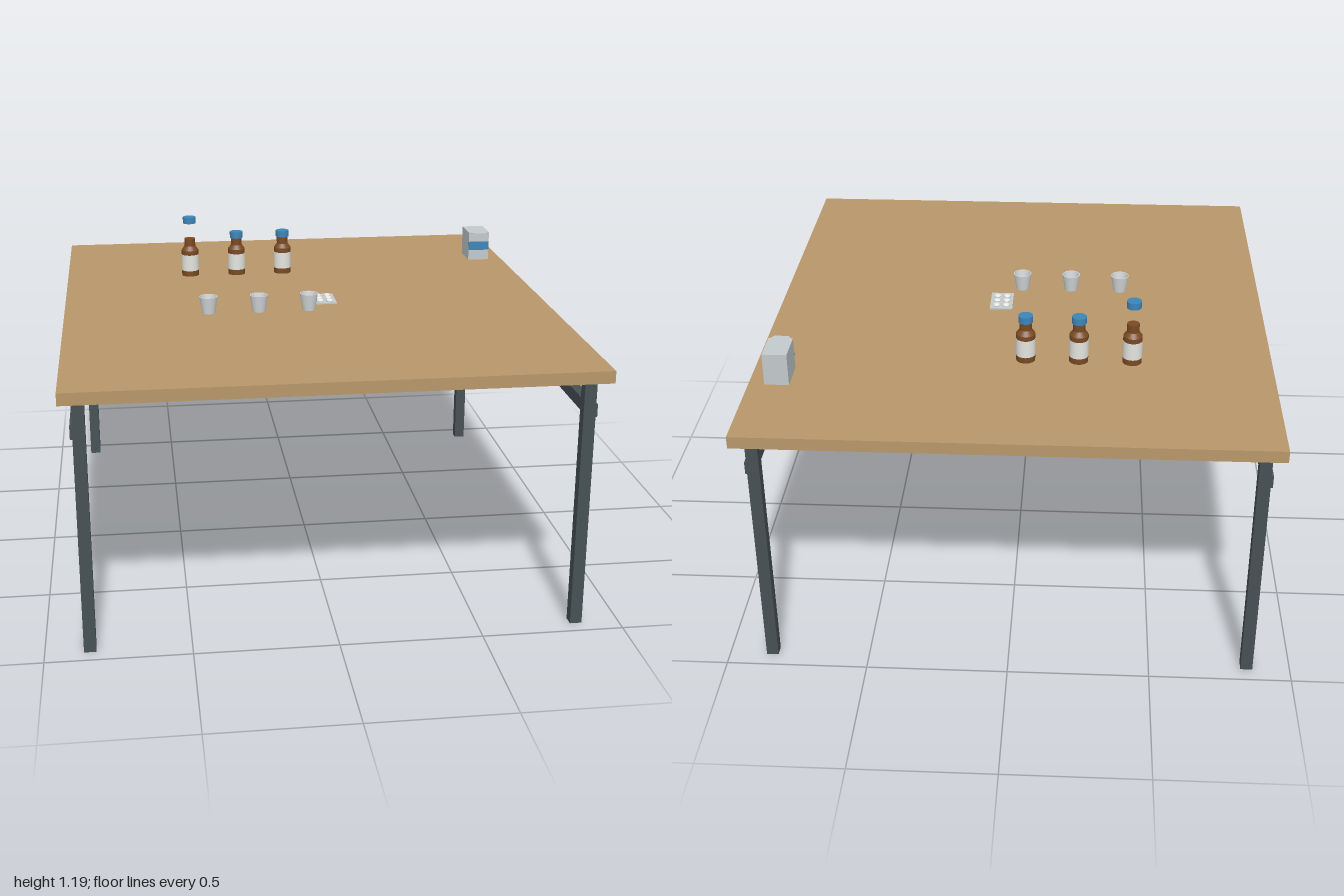
import * as THREE from 'three';

const mat = (name, color, extra = {}) => {
  const m = new THREE.MeshStandardMaterial({ color, ...extra });
  m.name = name;
  return m;
};

export function createModel() {
  const root = new THREE.Group();
  root.name = 'medicineTable';
  const wood = mat('wood', 0xb8976a);
  const metal = mat('darkMetal', 0x465054);
  const amber = mat('amberGlass', 0x7a4a22);
  const blue = mat('blue', 0x3d85b8);
  const paper = mat('paperLabel', 0xe4e4e0);
  const cupMat = mat('cupPlastic', 0xd4d8da, { side: THREE.DoubleSide });
  const card = mat('greyCard', 0xc3cacb);

  const add = (parent, name, geo, material, x = 0, y = 0, z = 0) => {
    const mesh = new THREE.Mesh(geo, material);
    mesh.name = name;
    mesh.position.set(x, y, z);
    parent.add(mesh);
    return mesh;
  };
  const group = (name, x, y, z) => {
    const g = new THREE.Group();
    g.name = name;
    g.position.set(x, y, z);
    root.add(g);
    return g;
  };
  const box = (w, h, d) => new THREE.BoxGeometry(w, h, d);
  // Separate frustum bands keep the edges between them sharp
  const band = (rTop, rBottom, y0, y1) =>
    new THREE.CylinderGeometry(rTop, rBottom, y1 - y0, 24).translate(0, (y0 + y1) / 2, 0);

  // Table top, legs and side rails
  const topY = 0.95;
  add(root, 'tableTop', box(1.82, 0.043, 2), wood, 0, topY - 0.0215, 0);
  for (const sx of [-1, 1]) {
    for (const sz of [-1, 1]) add(root, 'leg', box(0.042, 0.907, 0.04), metal, sx * 0.847, 0.4535, sz * 0.926);
    add(root, 'sideRail', box(0.035, 0.045, 1.876), metal, sx * 0.859, 0.791, 0);
  }

  // Bottles; the first has its cap lifted off
  [[-0.415, 0.215], [-0.226, 0.15], [-0.038, 0.15]].forEach(([x, capY]) => {
    const g = group('bottle', x, topY, -0.427);
    add(g, 'bottleBody', band(0.034, 0.034, 0, 0.105), amber);
    add(g, 'bottleShoulder', band(0.022, 0.034, 0.105, 0.122), amber);
    add(g, 'bottleNeck', band(0.022, 0.022, 0.122, 0.152), amber);
    add(g, 'bottleLabel', band(0.0348, 0.0348, 0.022, 0.087), paper);
    add(g, 'bottleCap', band(0.026, 0.026, capY, capY + 0.025), blue);
  });

  // Open dosing cups with a wall thickness
  const cupProfile = [[0, 0], [0.024, 0], [0.034, 0.063], [0.031, 0.063], [0.0225, 0.006], [0, 0.006]]
    .map(([r, y]) => new THREE.Vector2(r, y));
  for (const x of [-0.376, -0.188, 0]) {
    const g = group('cup', x, topY, 0.145);
    // One lathe per profile segment for crisp rims
    for (let i = 0; i < cupProfile.length - 1; i++)
      add(g, 'cupWall', new THREE.LatheGeometry([cupProfile[i], cupProfile[i + 1]], 24), cupMat);
  }

  // Blister pack with six pills
  const pack = group('blisterPack', 0.073, topY, 0.02);
  add(pack, 'packCard', box(0.085, 0.005, 0.132), card, 0, 0.0035, 0);
  for (const x of [-0.018, 0.018])
    for (const z of [-0.038, 0, 0.038])
      add(pack, 'pill', new THREE.SphereGeometry(0.014, 16, 10), paper, x, 0.008, z).scale.y = 0.5;

  // Medicine carton with a blue band and a lid flap
  const carton = group('carton', 0.811, topY, -0.592);
  add(carton, 'cartonBody', box(0.086, 0.117, 0.122), card, 0, 0.0585, 0);
  add(carton, 'cartonBand', box(0.086, 0.036, 0.003), blue, 0, 0.06, 0.0615);
  const flap = new THREE.Shape([[-0.036, 0], [0.036, 0], [0.026, -0.018], [-0.026, -0.018]]
    .reverse().map(([x, y]) => new THREE.Vector2(x, y)));
  const flapGeo = new THREE.ExtrudeGeometry(flap, { depth: 0.003, bevelEnabled: false }).rotateX(-Math.PI / 2);
  add(carton, 'cartonFlap', flapGeo, card, 0, 0.114, 0.061);

  return root;
}
